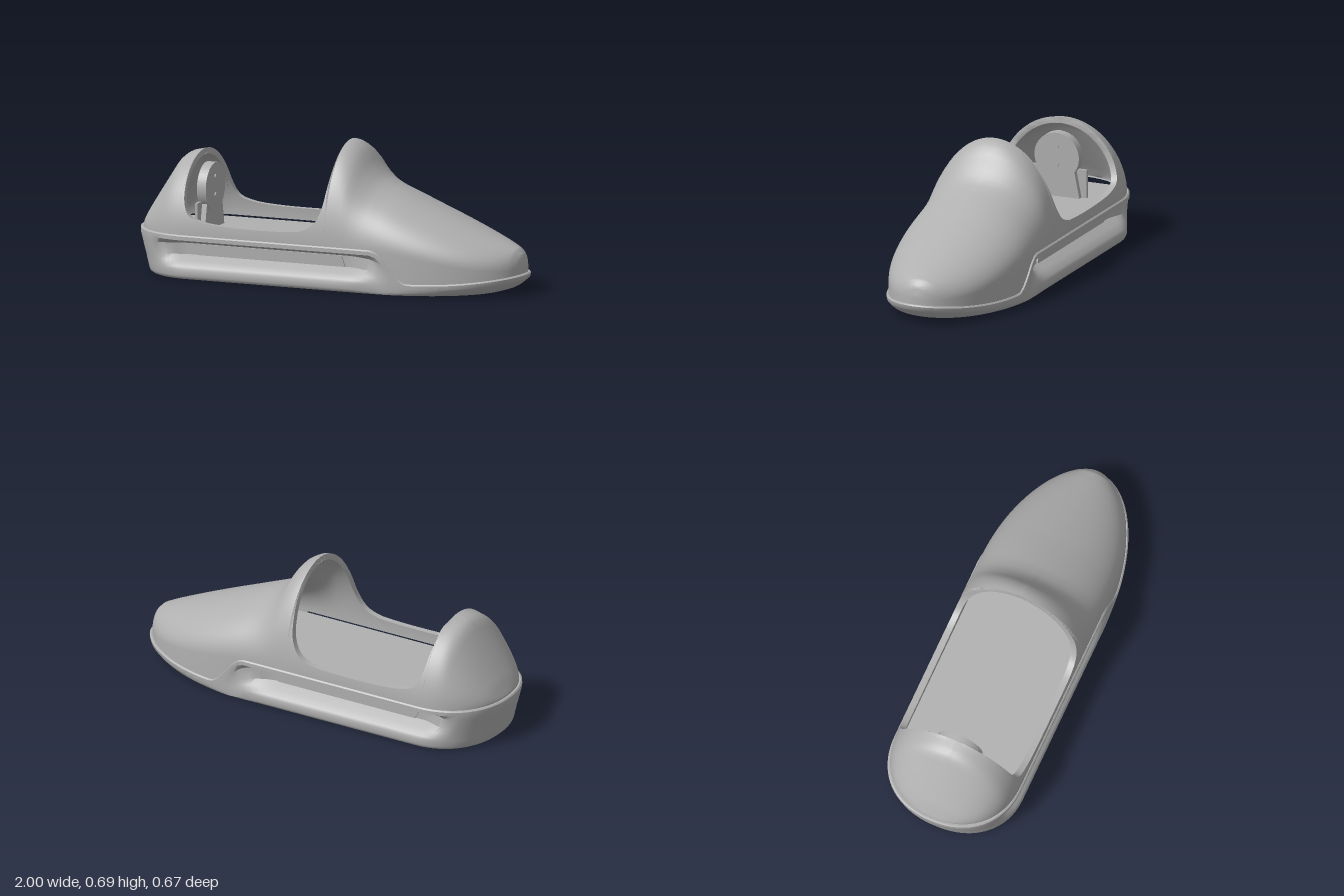
import * as THREE from 'three';
import { toCreasedNormals } from 'three/addons/utils/BufferGeometryUtils.js';

const HALF = 0.335; // half width of the vehicle
const smooth = THREE.MathUtils.smoothstep;
const lerp = THREE.MathUtils.lerp;

// Half width of the plan outline at x
function planWidth(x) {
  if (x < -0.67) return HALF * Math.pow(Math.max(0, 1 - Math.pow((-0.67 - x) / 0.33, 2.2)), 1 / 2.2);
  if (x > 0.35) return HALF * Math.sqrt(Math.max(0, 1 - ((x - 0.35) / 0.65) ** 2));
  return HALF;
}

// Height of the seam between tub and shell at x
function seamHeight(x) {
  const nose = 0.06 + 0.04 * (Math.max(0, x - 0.5) / 0.5) ** 2;
  return lerp(0.215, nose, smooth(x, 0.31, 0.5));
}

// Linear interpolation through [x, y] points
function along(points, x) {
  let i = 1;
  while (i < points.length - 1 && points[i][0] < x) i++;
  const [a, b] = [points[i - 1], points[i]];
  return lerp(a[1], b[1], THREE.MathUtils.clamp((x - a[0]) / (b[0] - a[0]), 0, 1));
}

// Skin a list of equally long cross-sections
function skin(columns, closed, flip) {
  const n = columns[0].length, index = [];
  const count = closed ? columns.length : columns.length - 1;
  for (let i = 0; i < count; i++) {
    const k = (i + 1) % columns.length;
    for (let j = 0; j < n - 1; j++) {
      const a = i * n + j, b = k * n + j, c = b + 1, d = a + 1;
      if (flip) index.push(a, c, b, a, d, c);
      else index.push(a, b, c, a, c, d);
    }
  }
  const g = new THREE.BufferGeometry();
  g.setAttribute('position', new THREE.Float32BufferAttribute(columns.flat(2), 3));
  g.setIndex(index);
  return toCreasedNormals(g, 0.6);
}

// Tub rows: height fraction, extra height, back inset, front inset, side inset, recess share
const TUB_ROWS = [
  [0, 0, 0.06, 0.2, HALF, 0],
  [0, 0, 0.06, 0.2, 0.014, 0],
  [0.03, 0, 0.053, 0.16, 0.005, 0],
  [0.09, 0, 0.048, 0.13, 0, 0],
  [0.25, 0, 0.04, 0.09, 0, 0],
  [0.32, 0, 0.036, 0.075, 0, 0.08],
  [0.45, 0, 0.03, 0.055, 0, 0.5],
  [0.58, 0, 0.022, 0.04, 0, 1],
  [0.87, 0, 0.007, 0.015, 0, 1],
  [1, 0, 0, 0.005, 0, 0],
  [1, 0.019, 0, 0, 0, 0],
  [1, 0.025, 0.006, 0.006, 0.006, 0],
  [1, 0.023, 0.035, 0.035, 0.035, 0],
];

function tubGeometry() {
  const N = 100, columns = [];
  for (let i = 0; i < 2 * N; i++) {
    const side = i < N ? 1 : -1;
    const t = i <= N ? i / N : (2 * N - i) / N;
    const s = (1 - Math.cos(Math.PI * t)) / 2;
    const x = 2 * s - 1;
    const recess = 0.08 * smooth(x, -0.88, -0.68) * (1 - smooth(x, 0.16, 0.42));
    columns.push(TUB_ROWS.map(([f, g, back, front, inset, r]) => [
      lerp(-1 + back, 1 - front, s),
      f * (seamHeight(x) - 0.025) + g,
      side * planWidth(x) * (1 - (inset + r * recess) / HALF),
    ]));
  }
  return skin(columns, true, false);
}

// Centre-line height of the shell, bridging the cockpit between tail and cowl
const RIDGE = [
  [-0.985, 0.22], [-0.965, 0.26], [-0.95, 0.29], [-0.87, 0.42], [-0.79, 0.55], [-0.765, 0.57], [-0.7, 0.585],
  [0.07, 0.69], [0.1, 0.685], [0.15, 0.65], [0.175, 0.605], [0.21, 0.555], [0.25, 0.515], [0.3, 0.485],
  [0.5, 0.4], [0.7, 0.32], [0.9, 0.24], [0.95, 0.218], [0.975, 0.19], [0.985, 0.14],
];

// Edge of the cockpit opening seen from the side
const OPENING = [
  [-0.7, 0.585], [-0.692, 0.45], [-0.68, 0.37], [-0.65, 0.31], [-0.58, 0.283], [-0.45, 0.27],
  [-0.15, 0.27], [-0.06, 0.28], [0, 0.31], [0.04, 0.38], [0.058, 0.5], [0.07, 0.69],
];

// Stations [x, cut height] from tail to nose
function shellStations() {
  const list = [];
  for (let i = 0; i < 24; i++) list.push([-0.985 + 0.285 * (1 - Math.cos(i / 24 * Math.PI / 2)), 9]);
  const edge = new THREE.CatmullRomCurve3(OPENING.map(([x, y]) => new THREE.Vector3(x, y, 0)));
  for (let i = 0; i <= 80; i++) {
    const p = edge.getPointAt((1 - Math.cos(Math.PI * i / 80)) / 2);
    list.push([p.x, p.y]);
  }
  for (let i = 1; i <= 64; i++) list.push([0.07 + 0.915 * Math.sin(i / 64 * Math.PI / 2), 9]);
  return list;
}

// One half of the shell: outer skin going up, inner skin coming back down
function shellGeometry(side) {
  const R = 20;
  const columns = shellStations().map(([x, cut]) => {
    const spring = lerp(0.215, 0.125, smooth(x, 0.25, 0.95));
    const foot = seamHeight(x / 0.985) - 0.006;
    const arc = (thick) => {
      const w = Math.max(0, planWidth(x / 0.985) * 0.975 - thick);
      const h = Math.max(0.003, along(RIDGE, x) - thick - spring);
      const end = Math.asin(Math.min(1, Math.max(0, (cut - spring) / h)));
      const pts = [[x, foot, side * w]];
      for (let j = 0; j <= R; j++) {
        const a = end * j / R;
        pts.push([x, spring + h * Math.sin(a), side * w * Math.cos(a)]);
      }
      return pts;
    };
    return [...arc(0), ...arc(0.03).reverse()];
  });
  return skin(columns, false, side < 0);
}

export function createModel() {
  const group = new THREE.Group();
  const grey = new THREE.MeshStandardMaterial({ color: 0xb0b0b0 });
  grey.name = 'plain grey';
  const add = (name, geometry, x = 0, y = 0, z = 0) => {
    const mesh = new THREE.Mesh(geometry, grey);
    mesh.name = name;
    mesh.position.set(x, y, z);
    group.add(mesh);
    return mesh;
  };

  add('tub', tubGeometry());
  add('leftShell', shellGeometry(1));
  add('rightShell', shellGeometry(-1));

  // Cockpit floor
  const rim = [];
  for (let i = 0; i <= 40; i++) {
    const x = lerp(-0.93, 0.7, i / 40);
    rim.push(new THREE.Vector2(x, Math.max(0.02, planWidth(x) - 0.035)));
  }
  const floor = new THREE.Shape([...rim, ...rim.map((p) => new THREE.Vector2(p.x, -p.y)).reverse()]);
  add('floor', new THREE.ShapeGeometry(floor).rotateX(-Math.PI / 2), 0, 0.2, 0);

  // Flat panels inside the side recesses
  const panel = new THREE.Shape([[-0.62, 0.11], [0.15, 0.11], [0.13, 0.165], [-0.65, 0.165]]
    .map(([x, y]) => new THREE.Vector2(x, y)));
  for (const side of [1, -1]) {
    add(side > 0 ? 'leftPanel' : 'rightPanel',
      new THREE.ExtrudeGeometry(panel, { depth: 0.008, bevelEnabled: false }),
      0, 0, side > 0 ? 0.254 : -0.262);
  }

  // Round headrest on a flared post with a wider back plate
  const disc = (r, d) => new THREE.CylinderGeometry(r, r, d, 40).rotateZ(Math.PI / 2);
  add('headrest', disc(0.118, 0.047), -0.6685, 0.402, 0);
  const post = new THREE.Shape([[-0.118, 0.2], [0.118, 0.2], [0.09, 0.34], [-0.09, 0.34]]
    .map(([x, y]) => new THREE.Vector2(x, y)));
  add('headrestPost',
    new THREE.ExtrudeGeometry(post, { depth: 0.04, bevelEnabled: false }).rotateY(Math.PI / 2),
    -0.69, 0, 0);
  add('backPlate', new THREE.BoxGeometry(0.015, 0.14, 0.29), -0.683, 0.27, 0);
  for (const y of [0.36, 0.45]) add('headrestStud', disc(0.012, 0.006), -0.643, y, 0);

  return group;
}
